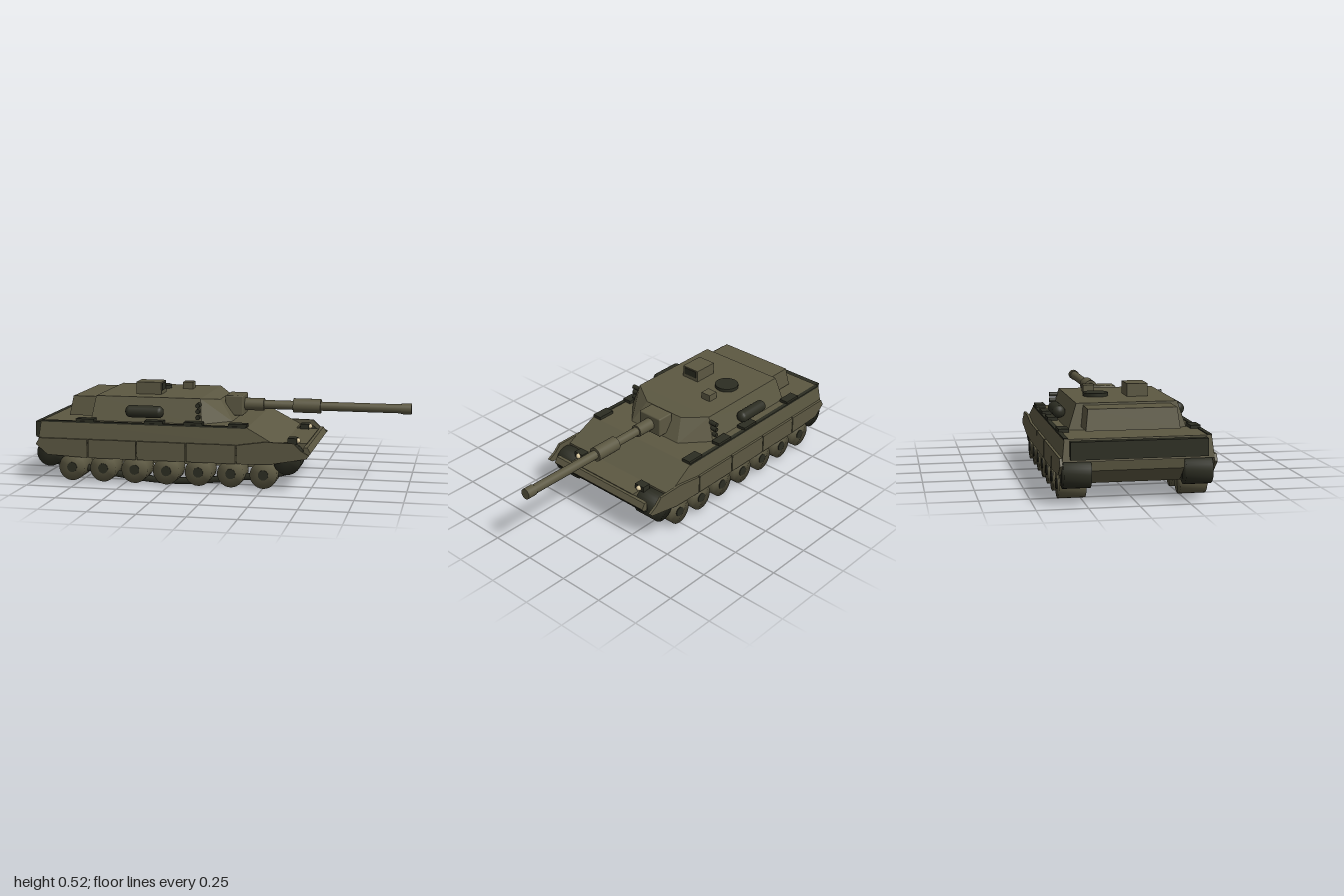
import * as THREE from 'three';
import { mergeVertices } from 'three/addons/utils/BufferGeometryUtils.js';
import { ConvexGeometry } from 'three/addons/geometries/ConvexGeometry.js';
import { RoundedBoxGeometry } from 'three/addons/geometries/RoundedBoxGeometry.js';

const paint = (name, color) => Object.assign(new THREE.MeshStandardMaterial({ color }), { name });

export function createModel() {
  const olive = paint('olive', 0x5c5842);
  const dark = paint('dark green', 0x2c2d22);
  const lamp = paint('lamp cream', 0xd9c79c);
  const model = new THREE.Group();

  const add = (name, geometry, material, x = 0, y = 0, z = 0) => {
    const mesh = new THREE.Mesh(geometry, material);
    mesh.name = name;
    mesh.position.set(x, y, z);
    model.add(mesh);
    return mesh;
  };
  // Box given by its limits on each axis
  const box = (name, material, [x0, x1], [y0, y1], [z0, z1]) =>
    add(name, new THREE.BoxGeometry(x1 - x0, y1 - y0, z1 - z0), material,
      (x0 + x1) / 2, (y0 + y1) / 2, (z0 + z1) / 2);
  // Convex solid from corners mirrored across z
  const solid = (name, material, corners) =>
    add(name, new ConvexGeometry(corners.flatMap(([x, y, z]) =>
      [new THREE.Vector3(x, y, z), new THREE.Vector3(x, y, -z)])), material);
  // Cylinder lying along x or z
  const rod = (r, length, axis, sides = 24) => {
    const g = new THREE.CylinderGeometry(r, r, length, sides);
    return axis === 'x' ? g.rotateZ(-Math.PI / 2) : g.rotateX(Math.PI / 2);
  };
  // Blends normals over the rim for a softly rounded wheel
  const soften = (g) => {
    g.deleteAttribute('normal');
    g.deleteAttribute('uv');
    const merged = mergeVertices(g, 1e-4);
    merged.computeVertexNormals();
    return merged;
  };

  // Hull
  solid('upperHull', olive, [
    [-0.96, 0.33, 0.36], [0.17, 0.33, 0.36], [0.345, 0.235, 0.372],
    [0.345, 0.222, 0.372], [-0.975, 0.222, 0.372]]);
  solid('lowerHull', olive, [
    [-0.95, 0.23, 0.23], [-0.94, 0.17, 0.23], [-0.86, 0.095, 0.228],
    [0.32, 0.095, 0.228], [0.46, 0.17, 0.23], [0.47, 0.235, 0.23], [0.3, 0.235, 0.23]]);
  solid('nosePlate', olive, [
    [0.465, 0.23, 0.327], [0.485, 0.23, 0.327], [0.503, 0.2, 0.327],
    [0.49, 0.182, 0.327], [0.465, 0.182, 0.327]]);
  box('noseUnderside', dark, [0.43, 0.48], [0.168, 0.184], [-0.32, 0.32]);
  box('rearPanel', dark, [-1, -0.96], [0.235, 0.322], [-0.335, 0.335]);

  // Running gear, skirts and fittings on both sides
  const wheelGeo = soften(rod(0.072, 0.135, 'z', 28));
  const hubGeo = rod(0.027, 0.012, 'z', 16);
  const endWheelGeo = soften(rod(0.073, 0.135, 'z', 28));
  const trackCurve = new THREE.CatmullRomCurve3([
    [-0.92, 0.115], [-0.72, 0.07], [-0.28, 0.019], [0.1, 0.05], [0.4, 0.108],
    [0.42, 0.16], [0.36, 0.2], [-0.88, 0.2], [-0.94, 0.16],
  ].map(([x, y]) => new THREE.Vector3(x, y, 0)), true);
  const trackGeo = new THREE.TubeGeometry(trackCurve, 80, 0.019, 6, true);
  const skirts = [
    [[-0.965, 0.24], [-0.697, 0.24], [-0.697, 0.14], [-0.92, 0.15], [-0.985, 0.205]],
    ...[-0.69, -0.42, -0.15].map((x) =>
      [[x, 0.24], [x + 0.263, 0.24], [x + 0.263, 0.14], [x, 0.14]]),
    [[0.12, 0.24], [0.27, 0.262], [0.42, 0.26], [0.455, 0.225], [0.503, 0.197],
      [0.485, 0.18], [0.3, 0.145], [0.12, 0.14]],
  ];

  for (const s of [1, -1]) {
    const span = (a, b) => (s > 0 ? [a, b] : [-b, -a]);
    for (let i = 0; i < 7; i++) {
      const x = -0.787 + i * 0.1745;
      add('roadWheel', wheelGeo, olive, x, 0.083, s * 0.3025);
      add('wheelHub', hubGeo, dark, x, 0.083, s * 0.368);
    }
    add('idlerWheel', endWheelGeo, dark, 0.385, 0.163, s * 0.2975);
    add('driveWheel', endWheelGeo, dark, -0.912, 0.157, s * 0.2975);
    add('track', trackGeo, dark, 0, 0, s * 0.3);
    for (const outline of skirts) {
      const shape = new THREE.Shape(outline.map(([x, y]) => new THREE.Vector2(x, y)));
      add('skirtPanel', new THREE.ExtrudeGeometry(shape, { depth: 0.014, bevelEnabled: false }),
        olive, 0, 0, s > 0 ? 0.37 : -0.384);
    }
    box('deckRail', dark, [-0.955, 0.165], [0.325, 0.334], span(0.34, 0.362));
    for (const x of [-0.715, -0.335, -0.12, 0.12])
      box('deckLocker', dark, [x - 0.05, x + 0.05], [0.325, 0.347], span(0.305, 0.357));

    // Headlight
    box('lampHousing', dark, [0.37, 0.418], [0.232, 0.263], span(0.197, 0.257));
    add('headlight', new THREE.SphereGeometry(0.0145, 16, 12), lamp, 0.42, 0.248, s * 0.226);

    // Turret side stowage and smoke launchers
    const roll = new THREE.CapsuleGeometry(0.033, 0.19, 4, 20).rotateZ(Math.PI / 2);
    roll.scale(0.82, 1, 1);
    add('stowageRoll', roll, dark, -0.395, 0.39, s * 0.312);
    for (const y of [0.365, 0.398, 0.429])
      add('smokeLauncher', rod(0.0125, 0.05, 'z', 12), dark, -0.105, y, s * 0.284);
  }

  // Turret
  solid('turret', olive, [
    [-0.7, 0.325, 0.3], [-0.085, 0.325, 0.3], [0.06, 0.325, 0.17],
    [-0.68, 0.46, 0.256], [-0.1, 0.46, 0.256], [-0.02, 0.44, 0.125]]);
  solid('turretBustle', olive, [
    [-0.84, 0.345, 0.235], [-0.66, 0.345, 0.235], [-0.82, 0.45, 0.222], [-0.66, 0.45, 0.222]]);
  box('sight', olive, [-0.485, -0.345], [0.455, 0.526], [0.04, 0.148]);
  box('sightWindow', dark, [-0.347, -0.342], [0.48, 0.519], [0.053, 0.135]);
  add('hatch', new THREE.CylinderGeometry(0.065, 0.065, 0.024, 28), dark, -0.418, 0.466, -0.113);
  box('periscope', olive, [-0.282, -0.225], [0.455, 0.498], [-0.153, -0.094]);

  // Gun
  add('mantlet', new RoundedBoxGeometry(0.1, 0.11, 0.15, 2, 0.008), olive, 0.045, 0.4, 0);
  const gun = [
    ['gunSleeve', 0.08, 0.2, 0.034], ['barrel', 0.19, 0.96, 0.0245],
    ['boreEvacuator', 0.362, 0.512, 0.039], ['muzzle', 0.945, 1, 0.029]];
  for (const [name, x0, x1, r] of gun)
    add(name, rod(r, x1 - x0, 'x', 28), olive, (x0 + x1) / 2, 0.4, 0);

  return model;
}
